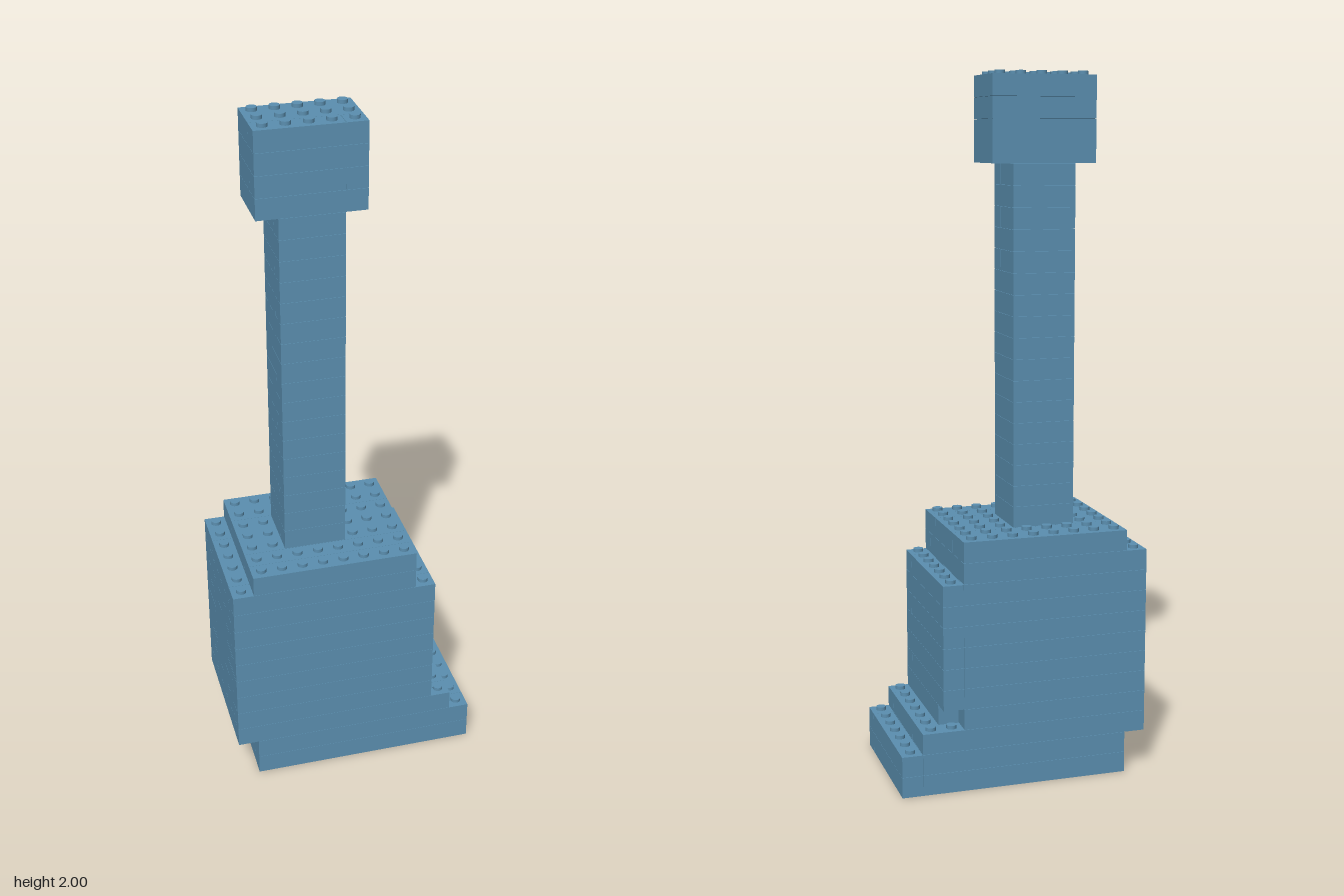
import * as THREE from 'three';
import { mergeGeometries } from 'three/addons/utils/BufferGeometryUtils.js';

const P = 0.0603;      // stud pitch and layer height
const GAP = 0.0004;    // half of the seam between bricks

// A layer is a list of bricks [x0, x1, z0, z1], measured in studs.
const base = [[-5, 5, -3.5, 2.5], [5, 6, -3.5, 2.5], [-5, 6, 2.5, 3.5]];
const plinth = [[-6, 5, -3.5, -1.5], [-6, 5, -1.5, 2.5], [-6, 5, 2.5, 3.5]];
const body = (sideBack) => [
  [-6, 3, -3.5, -1.5], [-6, 3, -1.5, 2.5], [3, 4, sideBack, 2.5], [-6, 4, 2.5, 3.5],
];
const shoulder = [[-6, 3, -3.5, -1.5], [-6, 3, -1.5, 2.5], [-6, 3, 2.5, 3.5]];
const cap = [[-5, 3, -3.5, -1.5], [-5, 3, -1.5, 1.5], [-5, 3, 1.5, 2.5], [-5, 3, 2.5, 3.5]];
const column = (i) => (i % 2 ? [[-3, 0, -1.5, 1.5]] : [[-3, 0, -1.5, 0.5], [-3, 0, 0.5, 1.5]]);
const head = (i) => (i % 2
  ? [[-4, 1, -1.5, 1.5]]
  : [[-4, 1, -1.5, 0.5], [-4, 0, 0.5, 1.5], [0, 1, 0.5, 1.5]]);

// Which part and which bricks lie at layer i
function layerAt(i) {
  if (i < 2) return ['base', base];
  if (i < 3) return ['plinth', plinth];
  if (i < 10) return ['body', body(i === 3 ? -2.5 : -3.5)];
  if (i < 11) return ['shoulder', shoulder];
  if (i < 12) return ['bodyCap', cap];
  if (i < 29) return ['column', column(i)];
  if (i < 33) return ['head', head(i)];
  return ['none', []];
}

const covers = (bricks, x, z) =>
  bricks.some(([x0, x1, z0, z1]) => x > x0 && x < x1 && z > z0 && z < z1);

function brick([x0, x1, z0, z1], i) {
  const g = new THREE.BoxGeometry((x1 - x0) * P - 2 * GAP, P - 2 * GAP, (z1 - z0) * P - 2 * GAP);
  return g.translate((x0 + x1) / 2 * P, (i + 0.5) * P, (z0 + z1) / 2 * P);
}

function stud(x, z, i) {
  const g = new THREE.CylinderGeometry(0.0145, 0.0145, 0.0104, 20);
  return g.translate(x * P, (i + 1) * P + 0.0048, z * P);
}

export function createModel() {
  const model = new THREE.Group();
  const blue = new THREE.MeshStandardMaterial({ color: 0x5b8fb0 });
  blue.name = 'dustyBlue';

  const parts = {};
  for (let i = 0; i < 33; i++) {
    const [name, bricks] = layerAt(i);
    const above = layerAt(i + 1)[1];
    const part = (parts[name] ??= { bricks: [], studs: [] });
    for (const b of bricks) {
      part.bricks.push(brick(b, i));
      // Studs only where nothing is stacked on top
      for (let x = b[0] + 0.5; x < b[1]; x++)
        for (let z = b[2] + 0.5; z < b[3]; z++)
          if (!covers(above, x, z)) part.studs.push(stud(x, z, i));
    }
  }

  for (const [name, { bricks, studs }] of Object.entries(parts)) {
    const group = new THREE.Group();
    group.name = name;
    for (const [kind, list] of [['Bricks', bricks], ['Studs', studs]]) {
      if (!list.length) continue;
      const mesh = new THREE.Mesh(mergeGeometries(list), blue);
      mesh.name = name + kind;
      group.add(mesh);
    }
    model.add(group);
  }
  return model;
}
